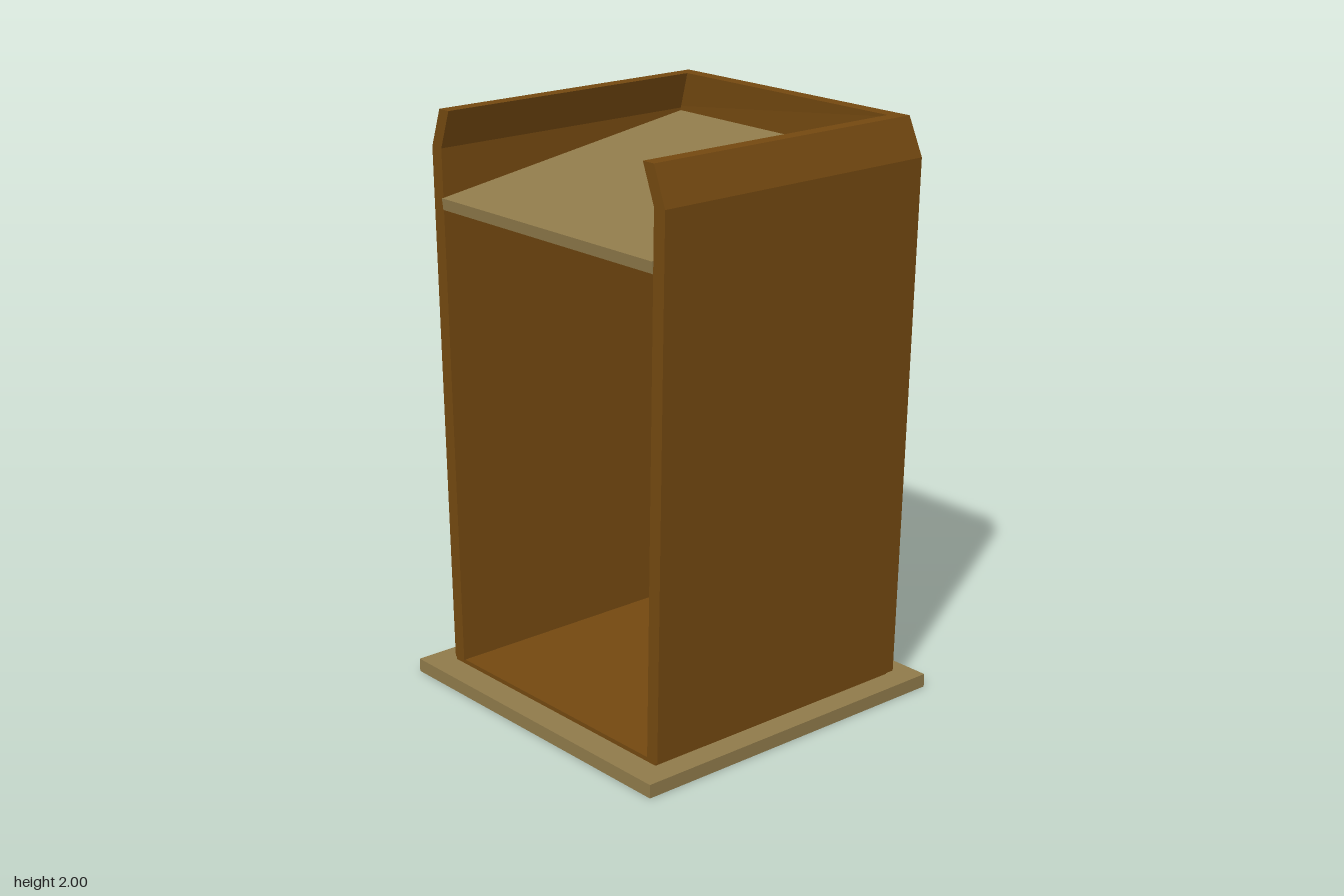
import * as THREE from 'three';

const wood = new THREE.MeshStandardMaterial({ color: 0x734810, flatShading: true });
const pale = new THREE.MeshStandardMaterial({ color: 0x8f7a4a, flatShading: true });
const paleSmooth = new THREE.MeshStandardMaterial({ color: 0x8f7a4a });

function add(group, name, geometry, material, x = 0, y = 0, z = 0) {
  const mesh = new THREE.Mesh(geometry, material);
  mesh.name = name;
  mesh.position.set(x, y, z);
  group.add(mesh);
  return mesh;
}

function extrude(points, depth) {
  const shape = new THREE.Shape(points.map(([a, b]) => new THREE.Vector2(a, b)));
  return new THREE.ExtrudeGeometry(shape, { depth, bevelEnabled: false });
}

// Wall heights: foot, bend and rim
const Y = [0.06, 1.87, 2];
const T = 0.05;

// Closed wall section: outer offsets going up, inner offsets coming down
function wallSection(outer) {
  return [
    ...outer.map((o, i) => [o, Y[i]]),
    ...outer.map((o, i) => [o - T, Y[i]]).reverse(),
  ];
}

export function createModel() {
  const model = new THREE.Group();
  model.name = 'nestBox';

  // Base plate and thin floor
  add(model, 'basePlate', new THREE.BoxGeometry(1.245, 0.047, 1.245), pale, 0, 0.0235, 0);
  add(model, 'floor', new THREE.BoxGeometry(1.05, 0.016, 1.07), wood, 0, 0.054, 0);

  // Front and back walls lean outwards, then fold in at the rim
  for (const [name, side, outer] of [
    ['frontWall', 1, [0.55, 0.59, 0.54]],
    ['backWall', -1, [0.535, 0.576, 0.53]],
  ]) {
    const section = wallSection(outer).map(([z, y]) => [-z * side, y]);
    const geometry = extrude(section, 1.05).rotateY(Math.PI / 2);
    add(model, name, geometry, wood, -0.53);
  }

  // Side wall: tapered outline, sheared to follow the slight lean
  const outline = [[-0.55, Y[0]], [0.535, Y[0]], [0.576, Y[1]], [0.53, Y[2]], [-0.54, Y[2]], [-0.59, Y[1]]];
  const side = extrude(outline, T).rotateY(Math.PI / 2);
  const p = side.attributes.position;
  for (let i = 0; i < p.count; i++) {
    const y = p.getY(i);
    const lean = y > Y[1] ? 0.555 - 0.01 * (y - Y[1]) / (Y[2] - Y[1])
      : 0.541 + 0.014 * (y - Y[0]) / (Y[1] - Y[0]);
    p.setX(i, p.getX(i) + lean - T);
  }
  side.computeVertexNormals();
  add(model, 'sideWall', side, wood);

  // Sloping roof board, lower towards the open side
  const roof = extrude([[-0.53, 1.665], [0.535, 1.825], [0.53, 1.865], [-0.535, 1.705]], 1.06);
  add(model, 'roofBoard', roof, pale, 0, 0, -0.525);

  // Round cover on the side wall
  const disc = new THREE.CylinderGeometry(0.28, 0.28, 0.045, 20).rotateZ(-Math.PI / 2);
  add(model, 'roundCover', disc, paleSmooth, 0.5625, 1.345, 0);

  return model;
}
